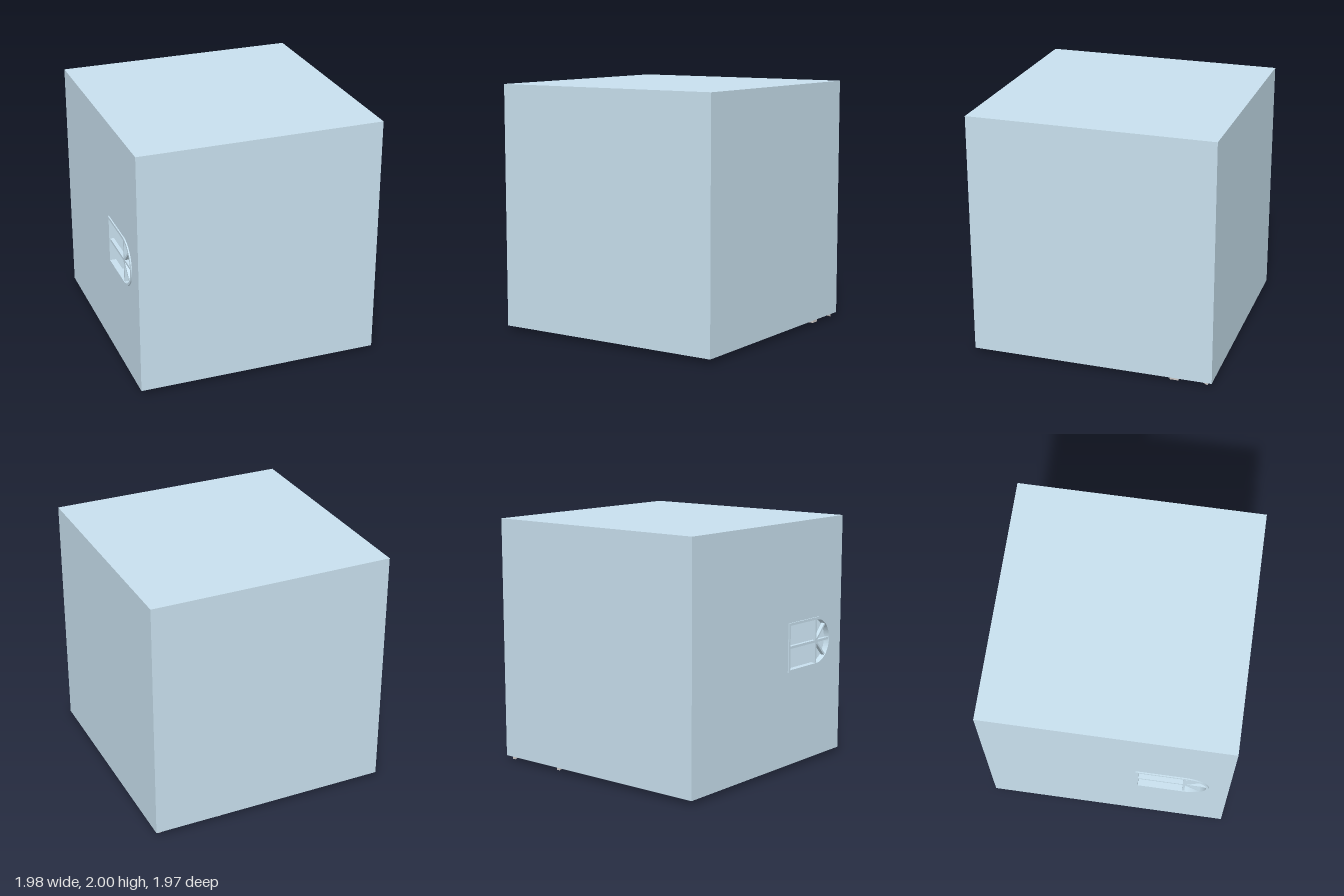
import * as THREE from 'three';

const blue = new THREE.MeshStandardMaterial({ color: 0xc8e0ee });
const grey = new THREE.MeshStandardMaterial({ color: 0xccc8c6 });

export function createModel() {
  const group = new THREE.Group();

  const add = (name, geometry, material = blue) => {
    const mesh = new THREE.Mesh(geometry, material);
    mesh.name = name;
    group.add(mesh);
    return mesh;
  };
  // Box given by its limits on each axis
  const box = (name, x0, x1, y0, y1, z0, z1, material) =>
    add(name, new THREE.BoxGeometry(x1 - x0, y1 - y0, z1 - z0), material)
      .position.set((x0 + x1) / 2, (y0 + y1) / 2, (z0 + z1) / 2);
  // Outline drawn in (z, y), extruded from x1 down to x0
  const panel = (name, shape, x0, x1, material) => {
    const geometry = new THREE.ExtrudeGeometry(shape, { depth: x1 - x0, bevelEnabled: false, curveSegments: 20 });
    geometry.rotateY(-Math.PI / 2).translate(x1, 0, 0);
    return add(name, geometry, material);
  };
  const polygon = (points) => new THREE.Shape(points.map(([z, y]) => new THREE.Vector2(z, y)));

  // House shell, open underneath
  const L = -0.98, R = 0.985, B = 0.035, T = 2, K = -0.985, F = 0.98, t = 0.03;
  box('topWall', L, R, T - t, T, K, F);
  box('rightWall', R - t, R, B, T - t, K, F);
  box('backWall', L + t, R - t, B, T - t, K, K + t);
  box('frontWall', L + t, R - t, B, T - t, F - t, F);

  // Window outline: straight sides with a half-round end toward +z
  const arch = { z0: 0.23, zc: 0.62, y: 1, r: 0.2 };
  const archPath = (Type, inset) => {
    const r = arch.r - inset;
    const path = new Type();
    path.moveTo(arch.z0 + inset, arch.y - r);
    path.lineTo(arch.zc, arch.y - r);
    path.absarc(arch.zc, arch.y, r, -Math.PI / 2, Math.PI / 2, false);
    path.lineTo(arch.z0 + inset, arch.y + r);
    path.closePath();
    return path;
  };
  const wall = polygon([[K, B], [F, B], [F, T - t], [K, T - t]]);
  wall.holes.push(archPath(THREE.Path, 0.012));
  panel('windowWall', wall, L, L + t);

  // Window frame and glazing bars
  const frame = archPath(THREE.Shape, 0);
  frame.holes.push(archPath(THREE.Path, 0.02));
  panel('windowFrame', frame, L - 0.01, L + t + 0.01);
  const bx0 = L - 0.002, bx1 = L + t - 0.002;
  box('windowLongBar', bx0, bx1, 0.99, 1.01, arch.z0 + 0.01, arch.zc + 0.19);
  box('windowCrossBar', bx0, bx1, 0.81, 1.19, arch.zc - 0.01, arch.zc + 0.01);
  for (const side of [-1, 1]) {
    const spoke = add('windowSpoke', new THREE.BoxGeometry(bx1 - bx0, 0.016, 0.19));
    const a = side * Math.PI / 4;
    spoke.rotation.x = -a;
    spoke.position.set((bx0 + bx1) / 2, arch.y + 0.095 * Math.sin(a), arch.zc + 0.095 * Math.cos(a));
  }

  // Inner floor with a gap for the stairs
  box('innerFloor', L + t, 0.21, B, T - t, 0, 0.025);
  box('landing', 0.21, R - t, 1.0, T - t, 0, 0.025);

  // Small room around the window
  box('roomFrontWall', L + t, -0.41, 0.57, 0.6, 0.025, F - t);
  box('roomSideWall', -0.44, -0.41, 0.6, 0.93, 0.025, F - t);

  // Round wall plate
  const plate = add('roundPlate', new THREE.CylinderGeometry(0.15, 0.15, 0.03, 32));
  plate.rotation.z = Math.PI / 2;
  plate.position.set(L + t + 0.015, 0.62, -0.22);

  // Open stairs: treads between two sloping stringers
  for (let i = 0; i < 4; i++) {
    const y = 0.165 * i, z = -0.71 + 0.4 * i;
    box('stairTread', 0.42, 0.95, y, y + 0.2, z, z + 0.07, grey);
  }
  const z0 = -0.945, z1 = 0.62, rise = (z1 - z0) * 0.41;
  const stringer = polygon([[z0, 0], [z1, rise], [z1, rise + 0.05], [z0, 0.05]]);
  panel('stairStringer', stringer, 0.415, 0.445, grey);
  panel('stairStringer', stringer, 0.925, 0.953, grey);

  return group;
}
